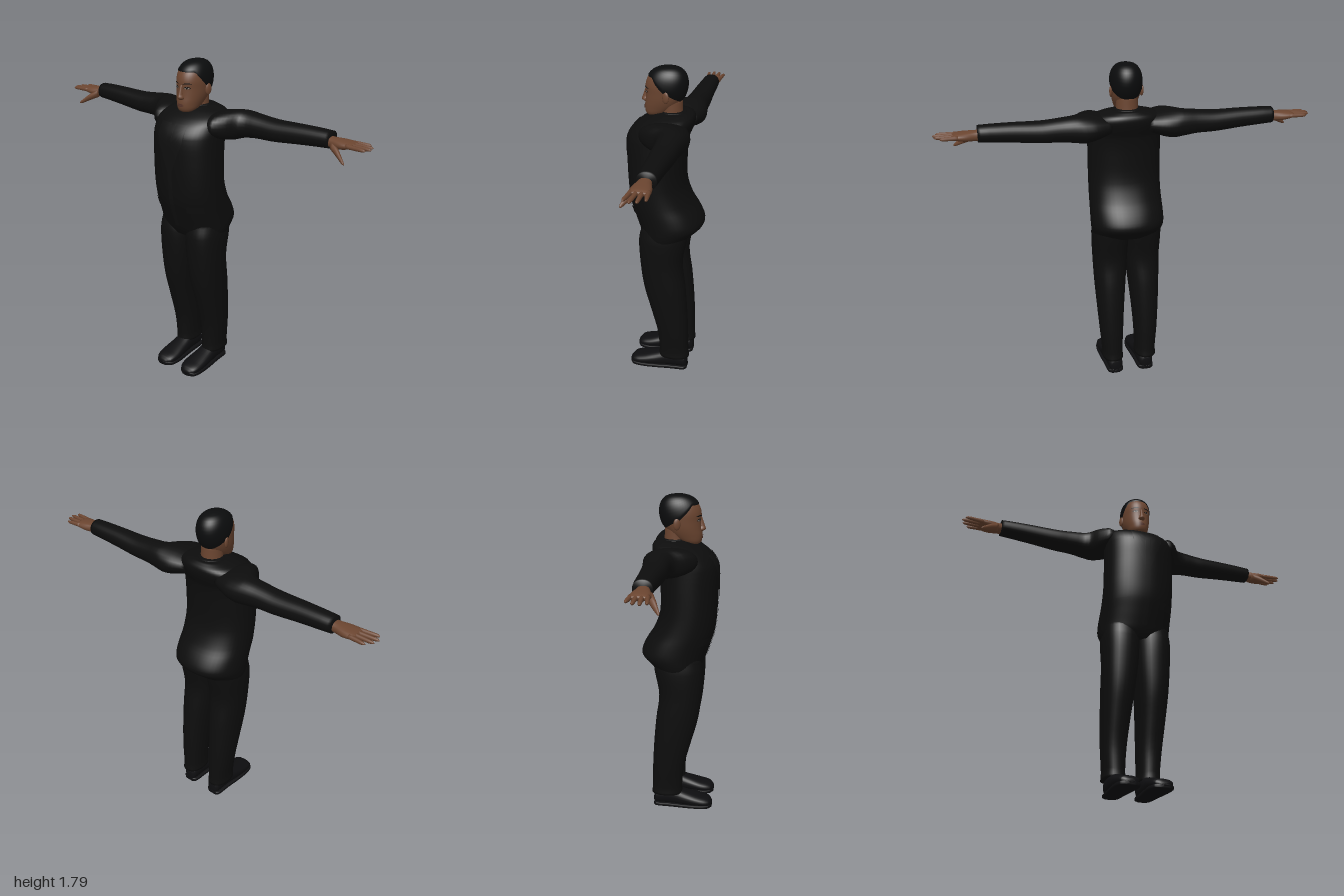
import * as THREE from 'three';

const mat = (name, color, side = THREE.FrontSide) => {
  const m = new THREE.MeshStandardMaterial({ color, side });
  m.name = name;
  return m;
};

// Smooth interpolation of cross-sections [t, u0, u1, v0, v1] at height t
function sample(rings, t) {
  let i = 0;
  while (i < rings.length - 2 && t > rings[i + 1][0]) i++;
  const a = rings[Math.max(i - 1, 0)], b = rings[i], c = rings[i + 1];
  const d = rings[Math.min(i + 2, rings.length - 1)];
  const h = c[0] - b[0], s = THREE.MathUtils.clamp((t - b[0]) / h, 0, 1);
  return [1, 2, 3, 4].map((k) => {
    const m0 = (c[k] - a[k]) / (c[0] - a[0]) * h, m1 = (d[k] - b[k]) / (d[0] - b[0]) * h;
    const s2 = s * s, s3 = s2 * s;
    return (2 * s3 - 3 * s2 + 1) * b[k] + (s3 - 2 * s2 + s) * m0 + (3 * s2 - 2 * s3) * c[k] + (s3 - s2) * m1;
  });
}

// Point on a superelliptic section
function onSection([u0, u1, v0, v1], a, p, grow = 0) {
  const f = (x) => Math.sign(x) * Math.abs(x) ** (2 / p);
  return [(u0 + u1) / 2 + ((u1 - u0) / 2 + grow) * f(Math.cos(a)),
    (v0 + v1) / 2 + ((v1 - v0) / 2 + grow) * f(Math.sin(a))];
}

// (u, v, t) in x, y, z order for each loft axis
const place = {
  x: (u, v, t) => [t, u, v],
  y: (u, v, t) => [v, t, u],
  z: (u, v, t) => [u, v, t],
};

function build(pos, idx) {
  const g = new THREE.BufferGeometry();
  g.setAttribute('position', new THREE.Float32BufferAttribute(pos, 3));
  g.setIndex(idx);
  g.computeVertexNormals();
  return g;
}

// Closed skin over cross-sections, capped at both ends
function loft(axis, rings, p = 2, seg = 28, steps = 4) {
  const pos = [], idx = [], ts = [];
  for (let i = 0; i < rings.length - 1; i++)
    for (let k = 0; k < steps; k++) ts.push(THREE.MathUtils.lerp(rings[i][0], rings[i + 1][0], k / steps));
  ts.push(rings[rings.length - 1][0]);
  ts.forEach((t, j) => {
    const s = sample(rings, t);
    for (let i = 0; i < seg; i++) {
      pos.push(...place[axis](...onSection(s, i / seg * Math.PI * 2, p), t));
      if (j === 0) continue;
      const n = (i + 1) % seg, lo = (j - 1) * seg, hi = j * seg;
      idx.push(lo + i, lo + n, hi + n, lo + i, hi + n, hi + i);
    }
  });
  const last = (ts.length - 1) * seg, base = pos.length / 3;
  for (const t of [ts[0], ts[ts.length - 1]]) {
    const s = sample(rings, t);
    pos.push(...place[axis]((s[0] + s[1]) / 2, (s[2] + s[3]) / 2, t));
  }
  for (let i = 0; i < seg; i++) {
    const n = (i + 1) % seg;
    idx.push(base, n, i, base + 1, last + i, last + n);
  }
  return build(pos, idx);
}

// Thin sheet lying on the front of an upright loft, between two curves y(x)
function patch(rings, p, x0, x1, yLo, yHi, off, nx = 10, ny = 8) {
  const pos = [], idx = [];
  for (let i = 0; i <= nx; i++) {
    const x = THREE.MathUtils.lerp(x0, x1, i / nx);
    for (let j = 0; j <= ny; j++) {
      const y = THREE.MathUtils.lerp(yLo(x), yHi(x), j / ny);
      const [z0, z1, , w] = sample(rings, y);
      const c = Math.max(0, 1 - Math.abs(x / w) ** p) ** (1 / p);
      pos.push(x, y, (z0 + z1) / 2 + (z1 - z0) / 2 * c + off);
      if (i === nx || j === ny) continue;
      const a = i * (ny + 1) + j, b = a + ny + 1;
      idx.push(a, b, b + 1, a, b + 1, a + 1);
    }
  }
  return build(pos, idx);
}

function mirrored(geo) {
  const g = geo.clone().scale(-1, 1, 1), ix = g.index.array;
  for (let i = 0; i < ix.length; i += 3) [ix[i], ix[i + 1]] = [ix[i + 1], ix[i]];
  g.computeVertexNormals();
  return g;
}

export function createModel() {
  const root = new THREE.Group();
  root.name = 'suitedMan';
  const suit = mat('black suit', 0x0d0d0d), trim = mat('suit trim', 0x0f0f0f, THREE.DoubleSide);
  const skin = mat('brown skin', 0x6b4530), hairMat = mat('black hair', 0x0b0c0d, THREE.DoubleSide);
  const lip = mat('lips', 0x57352b, THREE.DoubleSide), white = mat('eye white', 0x8f857c, THREE.DoubleSide);
  const dark = mat('dark eye', 0x130d0a, THREE.DoubleSide), leather = mat('black leather', 0x0e0e10);

  const add = (name, geo, m) => {
    const mesh = new THREE.Mesh(geo, m);
    mesh.name = name;
    root.add(mesh);
  };
  const pair = (name, geo, m) => {
    add('left' + name, geo, m);
    add('right' + name, mirrored(geo), m);
  };

  // Jacket body: [y, back z, front z, -x, x]
  const torso = [
    [0.84, -0.125, 0.115, -0.185, 0.185], [0.875, -0.165, 0.135, -0.195, 0.195],
    [0.92, -0.207, 0.152, -0.2, 0.2], [0.98, -0.19, 0.172, -0.2, 0.2],
    [1.06, -0.14, 0.195, -0.198, 0.198], [1.16, -0.106, 0.205, -0.197, 0.197],
    [1.3, -0.104, 0.21, -0.197, 0.197], [1.41, -0.115, 0.207, -0.197, 0.197],
    [1.46, -0.135, 0.183, -0.198, 0.198], [1.5, -0.145, 0.14, -0.195, 0.195],
    [1.53, -0.14, 0.085, -0.155, 0.155], [1.55, -0.115, 0.035, -0.085, 0.085],
  ];
  add('jacket', loft('y', torso, 2.2, 48), suit);
  add('collar', loft('y', [[1.49, -0.125, 0.11, -0.1, 0.1], [1.525, -0.115, 0.075, -0.085, 0.085],
    [1.555, -0.098, 0.03, -0.07, 0.07]]), suit);
  add('jacketPlacket', patch(torso, 2.2, -0.014, 0.014, () => 0.9, () => 1.47, 0.004, 4, 30), trim);
  pair('Lapel', patch(torso, 2.2, 0.012, 0.085, (x) => 1.22 + (x - 0.012) * 2.6, () => 1.48, 0.005), trim);
  pair('PocketFlap', patch(torso, 2.2, 0.085, 0.165, () => 1.0, () => 1.04, 0.005), trim);

  // Sleeves: [x, low y, high y, back z, front z]
  pair('Sleeve', loft('x', [
    [0.1, 1.43, 1.52, -0.13, 0.06], [0.18, 1.4, 1.54, -0.16, 0.11], [0.235, 1.392, 1.546, -0.165, 0.065],
    [0.28, 1.402, 1.544, -0.16, 0.0], [0.36, 1.412, 1.536, -0.15, -0.016], [0.46, 1.415, 1.528, -0.146, -0.02],
    [0.6, 1.428, 1.53, -0.14, -0.03], [0.72, 1.438, 1.53, -0.138, -0.038], [0.78, 1.442, 1.528, -0.135, -0.042],
  ], 2.2), suit);

  // Hands
  pair('Palm', loft('x', [
    [0.75, 1.45, 1.505, -0.115, -0.055], [0.79, 1.45, 1.502, -0.118, -0.05], [0.84, 1.452, 1.5, -0.132, -0.038],
    [0.885, 1.462, 1.496, -0.136, -0.038], [0.905, 1.472, 1.488, -0.13, -0.045]], 2.4, 20), skin);
  [[-0.05, -0.04, 0.985], [-0.075, -0.07, 1.0], [-0.1, -0.102, 0.992], [-0.125, -0.134, 0.965]].forEach(([za, zb, tip], i) => {
    const ring = (x, z, r) => [x, 1.48 - r, 1.48 + r, z - r, z + r];
    pair('Finger' + (i + 1), loft('x', [ring(0.875, za, 0.012), ring((0.875 + tip) / 2, (za + zb) / 2, 0.0105),
      ring(tip - 0.012, zb, 0.008), ring(tip, zb, 0.002)], 2, 10, 3), skin);
  });
  pair('Thumb', loft('x', [[0.8, 1.445, 1.485, -0.08, -0.035], [0.84, 1.427, 1.465, -0.052, -0.018],
    [0.875, 1.41, 1.435, -0.026, -0.004], [0.892, 1.403, 1.42, -0.012, 0.002],
    [0.9, 1.404, 1.41, -0.005, 0.0]], 2, 12, 3), skin);

  // Trousers and shoes
  pair('TrouserLeg', loft('y', [
    [0.085, -0.152, 0.024, 0.036, 0.157], [0.13, -0.147, 0.022, 0.039, 0.155], [0.25, -0.145, 0.032, 0.034, 0.165],
    [0.4, -0.137, 0.07, 0.024, 0.175], [0.55, -0.124, 0.11, 0.01, 0.183], [0.7, -0.106, 0.13, -0.004, 0.188],
    [0.84, -0.13, 0.136, -0.012, 0.192], [0.92, -0.14, 0.12, -0.012, 0.185]], 2.3, 32), suit);
  const shoe = [
    [-0.14, 0.068, 0.115, 0.012, 0.07], [-0.125, 0.05, 0.13, 0.012, 0.1], [-0.04, 0.043, 0.137, 0.01, 0.115],
    [0.04, 0.035, 0.146, 0.008, 0.09], [0.12, 0.028, 0.15, 0.006, 0.066], [0.175, 0.04, 0.14, 0.006, 0.05],
    [0.195, 0.07, 0.112, 0.01, 0.03]];
  pair('Shoe', loft('z', shoe, 2.4), leather);
  pair('Sole', loft('z', shoe.map(([z, a, b]) => [z, a - 0.004, b + 0.004, 0, 0.022]), 5), leather);

  // Head and neck: [y, back z, front z, -x, x]
  const head = [
    [1.522, 0.045, 0.092, -0.022, 0.022], [1.535, 0.01, 0.112, -0.046, 0.046], [1.57, -0.045, 0.119, -0.062, 0.062],
    [1.61, -0.078, 0.115, -0.073, 0.073], [1.65, -0.097, 0.113, -0.078, 0.078], [1.69, -0.105, 0.114, -0.08, 0.08],
    [1.73, -0.1, 0.101, -0.074, 0.074], [1.76, -0.082, 0.075, -0.058, 0.058], [1.776, -0.055, 0.042, -0.037, 0.037],
    [1.782, -0.02, 0.01, -0.01, 0.01]];
  add('head', loft('y', head, 2.1, 40), skin);
  add('neck', loft('y', [[1.48, -0.09, 0.06, -0.062, 0.062], [1.55, -0.082, 0.036, -0.058, 0.058],
    [1.62, -0.08, 0.04, -0.058, 0.058]]), skin);
  add('nose', loft('y', [[1.592, 0.095, 0.12, -0.012, 0.012], [1.604, 0.09, 0.136, -0.019, 0.019],
    [1.622, 0.09, 0.132, -0.012, 0.012], [1.67, 0.09, 0.116, -0.007, 0.007]], 2, 16), skin);
  const ear = new THREE.SphereGeometry(1, 14, 10).scale(0.009, 0.031, 0.019);
  pair('Ear', ear.rotateY(-0.3).translate(0.081, 1.64, -0.008), skin);

  // Cropped hair cap with a hairline high at the brow and low at the nape
  const pos = [], idx = [], seg = 48, rows = 12;
  for (let j = 0; j <= rows; j++) for (let i = 0; i < seg; i++) {
    const a = i / seg * Math.PI * 2, c = Math.cos(a);
    const line = c > 0 ? 1.66 + 0.074 * Math.min(1, c * 1.5) : 1.66 + 0.052 * c;
    const y = line + (1.782 - line) * Math.sin(j / rows * Math.PI / 2);
    const [z, x] = onSection(sample(head, y), a, 2.1, j === 0 ? 0.001 : 0.005);
    pos.push(x, y + 0.005 * j / rows, z);
    if (j === 0) continue;
    const n = (i + 1) % seg, lo = (j - 1) * seg, hi = j * seg;
    idx.push(lo + i, lo + n, hi + n, lo + i, hi + n, hi + i);
  }
  const crown = pos.length / 3;
  pos.push(0, 1.788, -0.005);
  for (let i = 0; i < seg; i++) idx.push(crown, rows * seg + i, rows * seg + (i + 1) % seg);
  add('hair', build(pos, idx), hairMat);

  // Facial details
  const lens = (cx, w, h) => (x) => h * Math.max(0, 1 - ((x - cx) / w) ** 2);
  const detail = (cx, cy, w, lo, hi, off) => patch(head, 2.1, cx - w, cx + w,
    (x) => cy - lens(cx, w, lo)(x), (x) => cy + lens(cx, w, hi)(x), off, 10, 3);
  pair('EyeLid', detail(0.033, 1.655, 0.017, 0.006, 0.008, 0.001), dark);
  pair('EyeWhite', detail(0.033, 1.654, 0.014, 0.004, 0.005, 0.002), white);
  pair('Iris', detail(0.033, 1.654, 0.005, 0.004, 0.005, 0.003), dark);
  pair('Eyebrow', detail(0.035, 1.675, 0.023, 0, 0.007, 0.002), hairMat);
  add('upperLip', detail(0, 1.566, 0.026, 0, 0.007, 0.004), lip);
  add('lowerLip', detail(0, 1.565, 0.024, 0.009, 0, 0.004), lip);

  return root;
}
